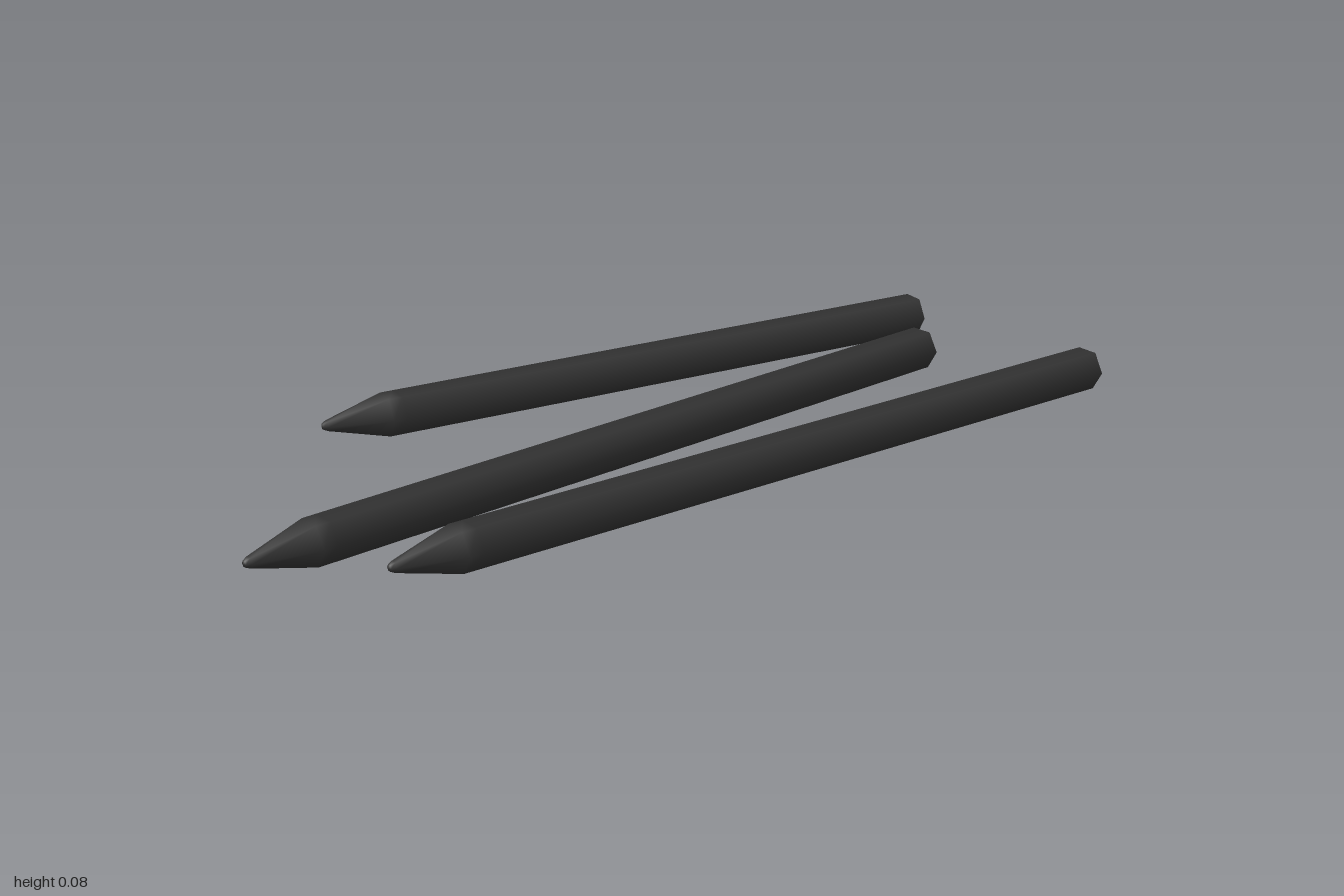
import * as THREE from 'three';

const R = 0.0485;                        // corner radius of the hexagonal body
const H = R * Math.cos(Math.PI / 6);     // centre height when lying on a flat
const TIP = 0.145;                       // length of the sharpened point

const dark = new THREE.MeshStandardMaterial({ color: 0x333333 });

// One hexagonal pencil lying flat, from the centre of its back end to its tip
function pencil(name, [bx, bz], [tx, tz]) {
  const length = Math.hypot(tx - bx, tz - bz);
  const group = new THREE.Group();
  group.name = name;

  // Six-sided shaft and blunt point, smooth around
  const profile = [
    [R, 0], [R, length - TIP - 0.03], [R, length - TIP],
    [0.012, length - 0.012], [0.007, length - 0.002], [0, length],
  ].map(([r, y]) => new THREE.Vector2(r, y));
  const bodyGeometry = new THREE.LatheGeometry(profile, 6, Math.PI / 6);
  bodyGeometry.rotateX(Math.PI / 2);
  const body = new THREE.Mesh(bodyGeometry, dark);
  body.name = 'pencilBody';

  // Flat back end
  const capGeometry = new THREE.CircleGeometry(R, 6);
  capGeometry.rotateY(Math.PI);
  const cap = new THREE.Mesh(capGeometry, dark);
  cap.name = 'pencilEnd';

  group.add(body, cap);
  group.position.set(bx, H, bz);
  group.rotation.y = Math.atan2(tx - bx, tz - bz);
  return group;
}

export function createModel() {
  const model = new THREE.Group();
  model.name = 'pencils';
  model.add(
    pencil('rightPencil', [-0.126, -0.99], [-0.43, 0.505]),
    pencil('middlePencil', [0.055, -0.82], [0.055, 1.0]),
    pencil('leftPencil', [0.394, -0.995], [0.243, 0.812]),
  );
  return model;
}
